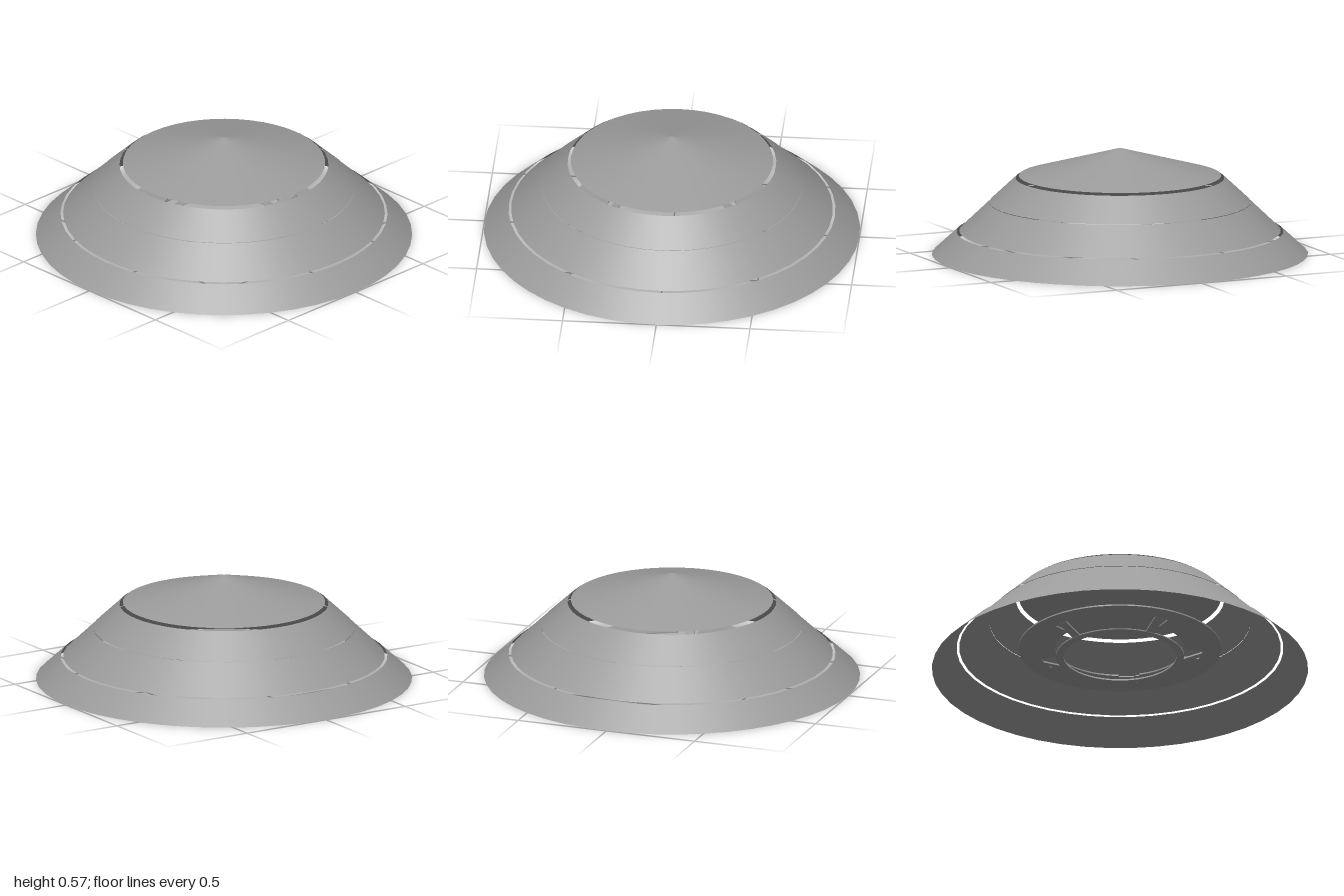
import * as THREE from 'three';

const SEGMENTS = 48;
const STEP = (Math.PI * 2) / 5;
const material = new THREE.MeshStandardMaterial({ color: 0x9b9b9b, side: THREE.DoubleSide });

function lathe(name, points) {
  const profile = points.map(([r, y]) => new THREE.Vector2(r, y));
  const mesh = new THREE.Mesh(new THREE.LatheGeometry(profile, SEGMENTS), material);
  mesh.name = name;
  return mesh;
}

// Flat ring with five notches opening from its inner edge
function notchedPlate(outer, inner, notchOuter, halfWidth, thickness) {
  const shape = new THREE.Shape();
  shape.absarc(0, 0, outer, 0, Math.PI * 2, false);
  const hole = new THREE.Path();
  const a = Math.asin(halfWidth / inner), b = Math.asin(halfWidth / notchOuter);
  for (let i = 0; i < 5; i++) {
    const centre = -Math.PI / 2 + i * STEP;
    hole.absarc(0, 0, notchOuter, centre - b, centre + b, false);
    hole.absarc(0, 0, inner, centre + a, centre + STEP - a, false);
  }
  hole.closePath();
  shape.holes.push(hole);
  const geometry = new THREE.ExtrudeGeometry(shape, {
    depth: thickness, bevelEnabled: false, curveSegments: SEGMENTS / 2,
  });
  return geometry.rotateX(-Math.PI / 2);
}

export function createModel() {
  const model = new THREE.Group();
  model.name = 'layeredDome';

  // Outer sloping bands, separated by narrow gaps
  model.add(
    lathe('lowerBand', [[1, 0], [0.869, 0.1205]]),
    lathe('middleBand', [[0.855, 0.1245], [0.695, 0.277]]),
    lathe('upperBand', [[0.695, 0.2795], [0.555, 0.41]]),
    lathe('conicalCap', [[0.538, 0.422], [0, 0.572]])
  );

  // Inner plate with a lower ring carried on five sloping tabs
  const inner = new THREE.Group();
  inner.name = 'innerAssembly';
  inner.rotation.y = 0.12;
  model.add(inner);

  const plate = new THREE.Mesh(notchedPlate(0.54, 0.345, 0.44, 0.055, 0.008), material);
  plate.name = 'innerPlate';
  plate.position.y = 0.118;
  inner.add(plate);

  inner.add(lathe('innerRing', [[0.3, 0.07], [0.34, 0.07], [0.34, 0.078], [0.3, 0.078], [0.3, 0.07]]));

  const rise = 0.046, run = 0.11;
  const tabGeometry = new THREE.BoxGeometry(0.05, 0.008, Math.hypot(rise, run));
  tabGeometry.rotateX(-Math.atan2(rise, run)).translate(0, 0.098, 0.387);
  for (let i = 0; i < 5; i++) {
    const tab = new THREE.Mesh(tabGeometry, material);
    tab.name = 'supportTab';
    tab.rotation.y = i * STEP;
    inner.add(tab);
  }

  return model;
}
